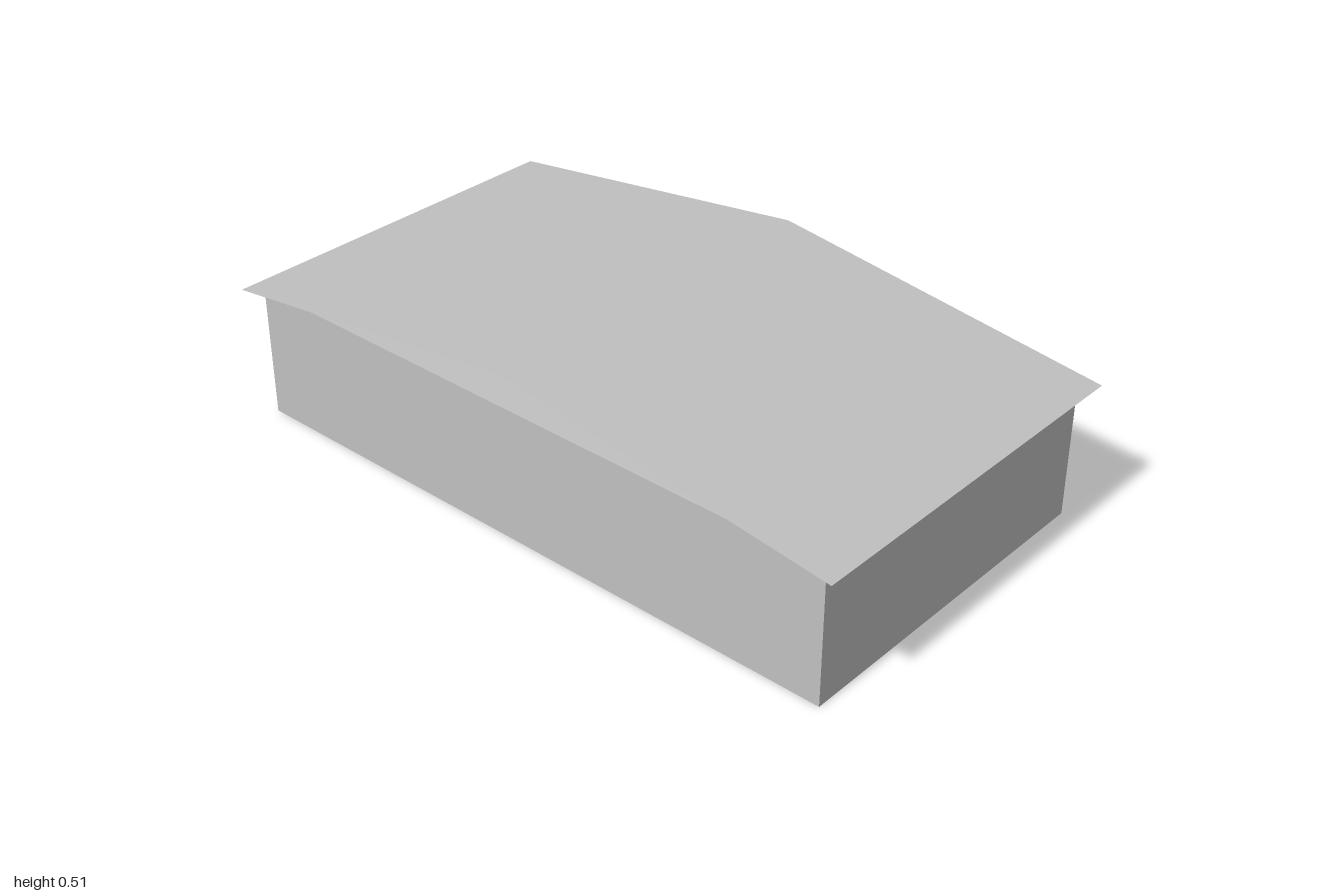
import * as THREE from 'three';

export function createModel() {
  const group = new THREE.Group();
  group.name = 'garageBuilding';
  const grey = new THREE.MeshStandardMaterial({ color: 0xc0c0c0 });
  grey.name = 'grey';
  const roofGrey = new THREE.MeshStandardMaterial({ color: 0xc0c0c0, side: THREE.DoubleSide });
  roofGrey.name = 'roofGrey';

  const wallHeight = 0.385, wallDepth = 1.025, ridgeHeight = 0.513, roofDepth = 1.108;

  const addBox = (name, w, h, d, x, y, z) => {
    const mesh = new THREE.Mesh(new THREE.BoxGeometry(w, h, d), grey);
    mesh.name = name;
    mesh.position.set(x, y, z);
    group.add(mesh);
  };

  // Main block
  addBox('walls', 1.91, wallHeight, wallDepth, 0, wallHeight / 2, 0);

  for (const [label, side] of [['left', 1], ['right', -1]]) {
    // Shallow door panel on the back wall
    addBox(label + 'Door', 0.568, 0.256, 0.006, side * 0.534, 0.128, -wallDepth / 2 - 0.003);

    // Thin roof slope, open at the gables
    const rise = ridgeHeight - wallHeight;
    const slope = new THREE.PlaneGeometry(Math.hypot(1, rise), roofDepth).rotateX(-Math.PI / 2);
    const roof = new THREE.Mesh(slope, roofGrey);
    roof.name = label + 'RoofSlope';
    roof.rotation.z = -side * Math.atan(rise);
    roof.position.set(side * 0.5, (ridgeHeight + wallHeight) / 2, 0);
    group.add(roof);
  }
  return group;
}
